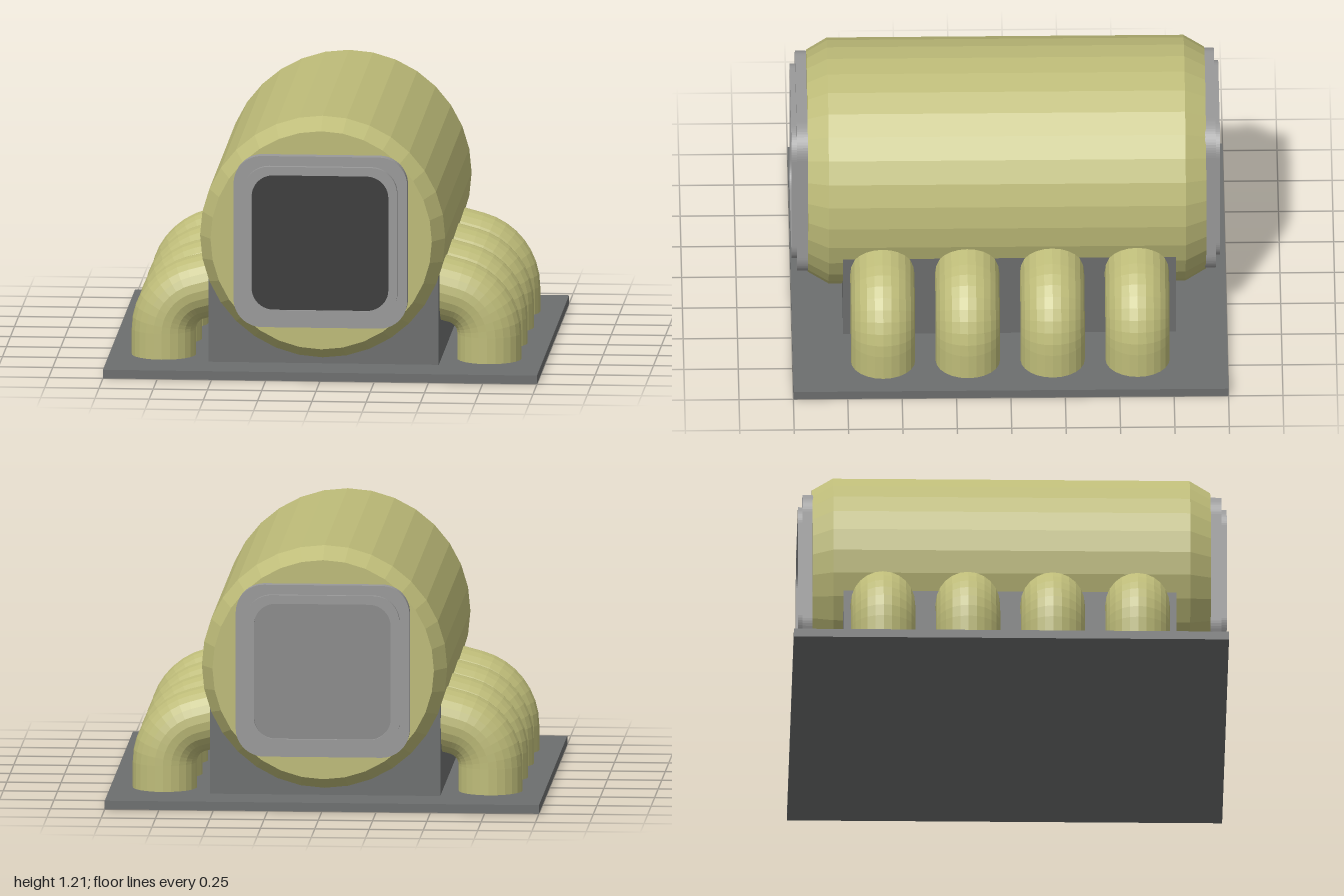
import * as THREE from 'three';

const material = (color) => new THREE.MeshStandardMaterial({ color, flatShading: true });

// Rounded square outline, usable as a shape or a hole
function roundedSquare(half, r, Type = THREE.Shape) {
  const s = new Type();
  const c = half - r;
  s.absarc(c, c, r, 0, Math.PI / 2);
  s.absarc(-c, c, r, Math.PI / 2, Math.PI);
  s.absarc(-c, -c, r, Math.PI, Math.PI * 1.5);
  s.absarc(c, -c, r, Math.PI * 1.5, Math.PI * 2);
  s.closePath();
  return s;
}

const slab = (shape, depth) =>
  new THREE.ExtrudeGeometry(shape, { depth, bevelEnabled: false, curveSegments: 8 });

// Pipe rising from the plate and bending 75 degrees inward, made by bending a cylinder
function elbowGeometry() {
  const rows = 10, bendSteps = rows - 2, bendR = 0.2, bendY = 0.16;
  const maxAngle = THREE.MathUtils.degToRad(75);
  const g = new THREE.CylinderGeometry(0.148, 0.148, 1, 24, rows, true);
  const p = g.attributes.position;
  for (let i = 0; i < p.count; i++) {
    const row = Math.round((p.getY(i) + 0.5) * rows);
    const a = maxAngle * THREE.MathUtils.clamp((row - 1) / bendSteps, 0, 1);
    let cx = 0.75 - bendR * (1 - Math.cos(a));
    let cy = bendY + bendR * Math.sin(a);
    if (row === 0) cy = 0.04;
    if (row === rows) {
      cx -= 0.2 * Math.sin(a);
      cy += 0.2 * Math.cos(a);
    }
    const d = p.getX(i);
    p.setXY(i, cx + d * Math.cos(a), cy + d * Math.sin(a));
  }
  g.computeVertexNormals();
  return g;
}

export function createModel() {
  const model = new THREE.Group();
  model.name = 'tankOnPlate';
  const olive = material(0xbdbb78);
  const steel = material(0x999999);
  const darkSteel = material(0x6c6e6e);
  const panelGrey = material(0x8a8a8a);
  const black = material(0x3a3a3a);

  const add = (parent, name, geometry, mat, x = 0, y = 0, z = 0) => {
    const mesh = new THREE.Mesh(geometry, mat);
    mesh.name = name;
    mesh.position.set(x, y, z);
    parent.add(mesh);
    return mesh;
  };

  // Base plate and the block carrying the tank
  add(model, 'basePlate', new THREE.BoxGeometry(2, 0.04, 2), darkSteel, 0, 0.02, 0);
  add(model, 'supportBlock', new THREE.BoxGeometry(1.06, 0.415, 1.53), darkSteel, 0, 0.2475, 0);

  // Chamfered tank lying along z
  const profile = [[0, -0.905], [0.51, -0.905], [0.565, -0.81], [0.565, 0.83], [0.51, 0.925], [0, 0.925]]
    .map(([r, h]) => new THREE.Vector2(r, h));
  const tank = new THREE.LatheGeometry(profile, 32).rotateX(Math.PI / 2);
  add(model, 'tank', tank, olive, 0, 0.645, 0);

  // Square end fittings: flange, raised rim and recessed panel
  function endFitting(name, z, rimDepth, recess, panelMat) {
    const end = new THREE.Group();
    end.name = name;
    end.position.set(0, 0.645, z);
    add(end, 'flange', slab(roundedSquare(0.4, 0.13), 0.05), steel);
    const rim = roundedSquare(0.355, 0.12);
    rim.holes.push(roundedSquare(0.315, 0.1, THREE.Path));
    add(end, 'rim', slab(rim, rimDepth), steel, 0, 0, 0.05);
    add(end, 'panel', slab(roundedSquare(0.315, 0.1), rimDepth - recess), panelMat, 0, 0, 0.05);
    model.add(end);
    return end;
  }
  endFitting('frontFitting', 0.925, 0.025, 0.01, black);
  endFitting('backFitting', -0.9, 0.02, 0.015, panelGrey).rotation.y = Math.PI;

  // Four elbow pipes on each side
  const elbow = elbowGeometry();
  for (const side of ['left', 'right']) {
    const pipes = new THREE.Group();
    pipes.name = side + 'Pipes';
    pipes.rotation.y = side === 'left' ? 0 : Math.PI;
    for (let i = 0; i < 4; i++) add(pipes, 'elbowPipe', elbow, olive, 0, 0, 0.585 - i * 0.39);
    model.add(pipes);
  }
  return model;
}
